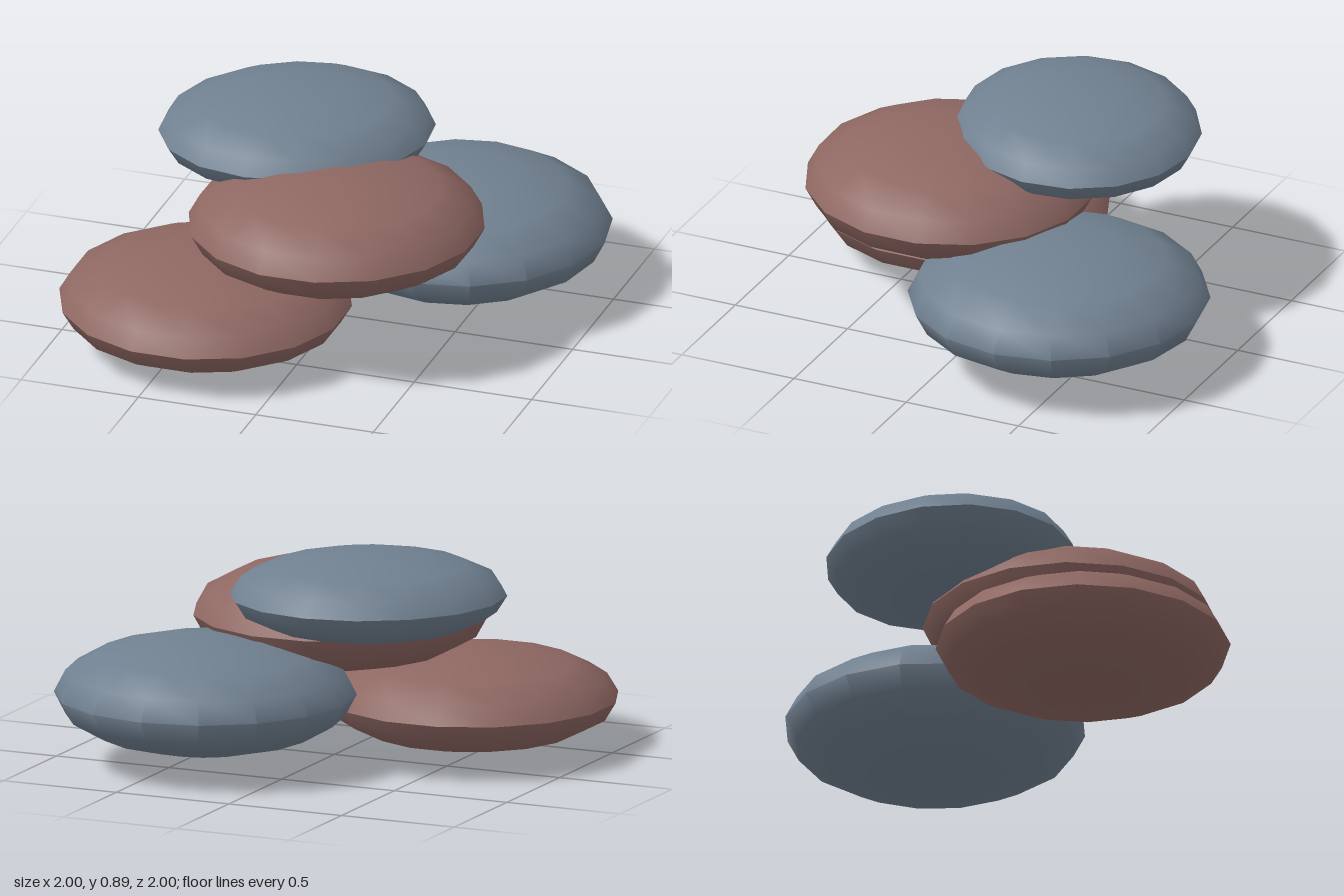
import * as THREE from 'three';
import { toCreasedNormals } from 'three/addons/utils/BufferGeometryUtils.js';

const material = (name, color) => {
  const m = new THREE.MeshStandardMaterial({ color });
  m.name = name;
  return m;
};

// Flattened 16-sided pebble; flatter stones get a sharp rim from the crease angle
function makePebble({ name, mat, at, size, phase = 0, turn = 0 }) {
  const geo = new THREE.SphereGeometry(1, 16, 8);
  geo.rotateY(phase);
  geo.scale(...size);
  geo.rotateY(turn);
  const mesh = new THREE.Mesh(toCreasedNormals(geo, THREE.MathUtils.degToRad(55.2)), mat);
  mesh.name = name;
  mesh.position.set(...at);
  return mesh;
}

export function createModel() {
  const slate = material('slate blue stone', 0x708090);
  const clay = material('red clay stone', 0x8e6762);
  const half = Math.PI / 16; // half a side, so a flat faces each axis

  const stones = [
    { name: 'lowerFrontStone', mat: clay, at: [-0.417, 0.203, 0.417], size: [0.594, 0.198, 0.594], phase: half },
    { name: 'lowerBackStone', mat: slate, at: [0.39, 0.302, -0.39], size: [0.61, 0.234, 0.61] },
    { name: 'middleStone', mat: clay, at: [0.08, 0.543, 0.242], size: [0.605, 0.217, 0.588], phase: half, turn: Math.PI / 4 },
    { name: 'topStone', mat: slate, at: [-0.234, 0.724, -0.175], size: [0.561, 0.176, 0.5], phase: half, turn: 0.556 },
  ];

  const group = new THREE.Group();
  group.name = 'pebblePile';
  stones.forEach((s) => group.add(makePebble(s)));
  return group;
}
